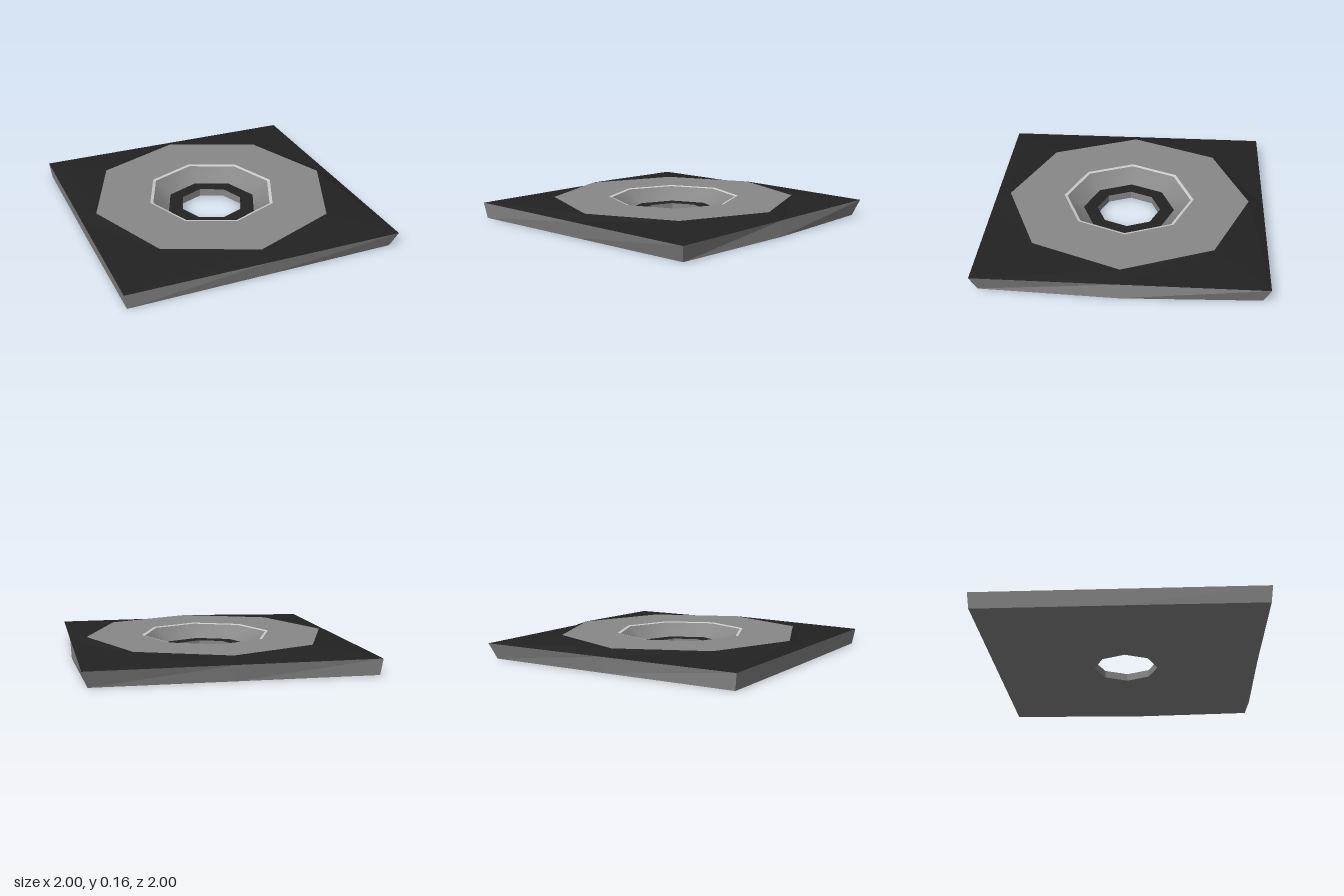
import * as THREE from 'three';

// Ring of eight points, starting on +x and turning toward +z
const octagon = (r, y) => Array.from({ length: 8 }, (_, k) => {
  const a = k * Math.PI / 4;
  return [r * Math.cos(a), y, r * Math.sin(a)];
});

// Faces between two eight-point rings; smooth shares the corner normals
function band(name, color, from, to, smooth = false) {
  const index = [];
  for (let k = 0; k < 8; k++) {
    const n = (k + 1) % 8;
    index.push(k, k + 8, n, n, k + 8, n + 8);
  }
  let geometry = new THREE.BufferGeometry();
  geometry.setAttribute('position', new THREE.Float32BufferAttribute([...from, ...to].flat(), 3));
  geometry.setIndex(index);
  if (!smooth) geometry = geometry.toNonIndexed();
  geometry.computeVertexNormals();
  const mesh = new THREE.Mesh(geometry, new THREE.MeshStandardMaterial({ color }));
  mesh.name = name;
  return mesh;
}

export function createModel() {
  const group = new THREE.Group();
  group.name = 'floorPlate';
  const grey = 0x888888, dark = 0x222222, light = 0xcccccc;

  // Square outlines: upper rim, and a slightly smaller, uneven foot
  const rim = [[1, 0], [1, 1], [0, 1], [-1, 1], [-1, 0], [-1, -1], [0, -1], [1, -1]]
    .map(([x, z]) => [x, 0.115, z]);
  const foot = [[1, 0], [0.96, 0.955], [0, 0.97], [-0.98, 0.985], [-0.985, 0],
    [-0.985, -0.985], [0, -0.97], [0.96, -0.955]].map(([x, z]) => [x, 0, z]);

  // Octagonal steps from the raised top down into the hole
  const topOuter = octagon(0.89, 0.155);
  const topInner = octagon(0.483, 0.155);
  const lip = octagon(0.46, 0.15);
  const ledgeOuter = octagon(0.34, 0.055);
  const ledgeInner = octagon(0.235, 0.055);
  const holeBottom = octagon(0.235, 0);

  group.add(
    band('underside', grey, holeBottom, foot),
    band('sides', grey, foot, rim),
    band('outerSlope', dark, rim, topOuter),
    band('topFace', grey, topOuter, topInner),
    band('lipTrim', light, topInner, lip),
    band('funnel', grey, lip, ledgeOuter, true),
    band('ledge', dark, ledgeOuter, ledgeInner),
    band('holeWall', grey, ledgeInner, holeBottom),
  );
  return group;
}
